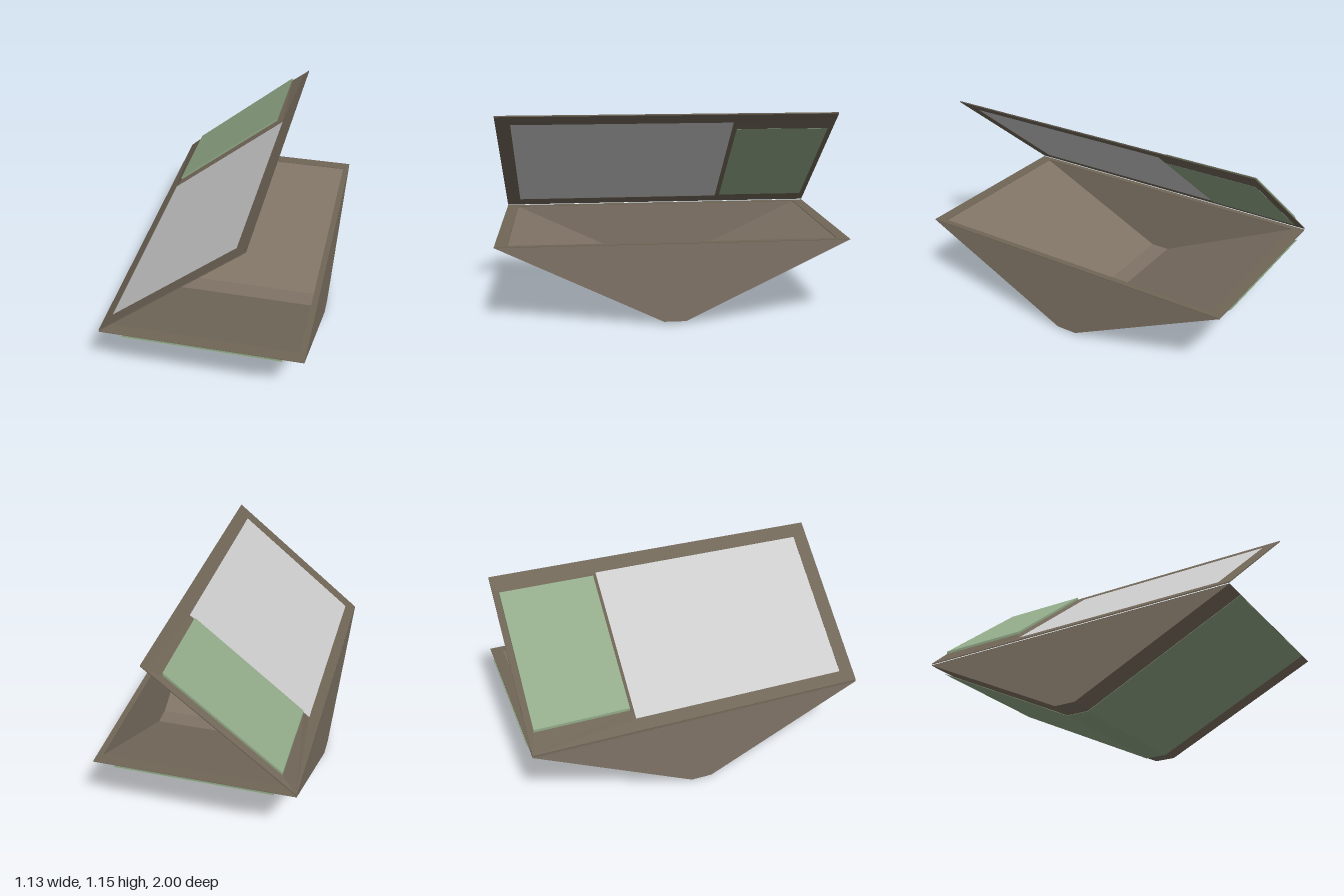
import * as THREE from 'three';

const mat = (color, side = THREE.FrontSide) =>
  new THREE.MeshStandardMaterial({ color, side, flatShading: true });

function add(parent, name, geometry, material) {
  const mesh = new THREE.Mesh(geometry, material);
  mesh.name = name;
  parent.add(mesh);
  return mesh;
}

// Rectangle outline from x0..x1 and z0..z1 (shape y is -z)
function outline(path, x0, x1, z0, z1) {
  path.moveTo(x0, -z1).lineTo(x1, -z1).lineTo(x1, -z0).lineTo(x0, -z0).closePath();
  return path;
}

// Flat plate lying in xz between heights y0 and y1, with optional rectangular holes
function plate(rect, y0, y1, holes = []) {
  const shape = outline(new THREE.Shape(), ...rect);
  for (const h of holes) shape.holes.push(outline(new THREE.Path(), ...h));
  return new THREE.ExtrudeGeometry(shape, { depth: y1 - y0, bevelEnabled: false })
    .rotateX(-Math.PI / 2).translate(0, y0, 0);
}

// Profile of [z, y] points extruded along x
function alongX(points, x0, x1) {
  const shape = new THREE.Shape(points.map(([z, y]) => new THREE.Vector2(z, y)));
  return new THREE.ExtrudeGeometry(shape, { depth: x1 - x0, bevelEnabled: false })
    .rotateY(Math.PI / 2).translate(x0, 0, 0);
}

// Four sloping strips joining two quads of [x, z] corners at different heights
function collar(outer, yOuter, inner, yInner) {
  const pos = [];
  for (let i = 0; i < 4; i++) {
    const j = (i + 1) % 4;
    const a = [outer[i][0], yOuter, outer[i][1]], b = [outer[j][0], yOuter, outer[j][1]];
    const c = [inner[j][0], yInner, inner[j][1]], d = [inner[i][0], yInner, inner[i][1]];
    // upward winding above the plate, downward winding below it
    if (yInner > yOuter) pos.push(...a, ...b, ...c, ...a, ...c, ...d);
    else pos.push(...a, ...c, ...b, ...a, ...d, ...c);
  }
  const g = new THREE.BufferGeometry();
  g.setAttribute('position', new THREE.Float32BufferAttribute(pos, 3));
  g.computeVertexNormals();
  return g;
}

export function createModel() {
  const model = new THREE.Group();
  model.name = 'openTrough';
  const brown = mat(0x7f7365);
  const trim = mat(0x706657);
  const trimSheet = mat(0x706657, THREE.DoubleSide);
  const green = mat(0x92aa89);
  const greenSheet = mat(0x92aa89, THREE.DoubleSide);
  const grey = mat(0xcccccc, THREE.DoubleSide);

  // Trough: V-shaped hollow shell closed by two end plates
  const body = new THREE.Group();
  body.name = 'trough';
  model.add(body);
  const W = 0.565, IN = 0.53, TOP = 0.467;
  const outer = [[-0.993, TOP], [-0.063, 0.015], [0.063, 0.015], [0.993, TOP]];
  const inner = [[0.925, TOP], [0.058, 0.05], [-0.058, 0.05], [-0.925, TOP]];
  add(body, 'troughShell', alongX([...outer, ...inner], -IN, IN), brown);
  add(body, 'leftEndPlate', alongX(outer, IN, W), brown);
  add(body, 'rightEndPlate', alongX(outer, -W, -IN), brown);
  add(body, 'troughRim', plate([-W, W, -0.995, 0.995], TOP, 0.47, [[-IN, IN, -0.925, 0.925]]), trim);

  // Thin liner sheet wrapped round the outside of the slopes
  const out = [[-1, 0.458], [-0.067, 0.001], [0.067, 0.001], [1, 0.458]];
  const back = [[0.999, 0.46], [0.066, 0.003], [-0.066, 0.003], [-0.999, 0.46]];
  add(body, 'outerSheet', alongX([...out, ...back], -0.44, 0.445), greenSheet);

  // Lid: modelled level, then sheared to slope up towards the left
  const lid = new THREE.Group();
  lid.name = 'lid';
  model.add(lid);
  const k = 0.8245;
  const slope = new THREE.Matrix4().set(
    1, 0, 0, 0,
    k, 1, 0, 0.478 + k * 0.565,
    0, 0, 1, 0,
    0, 0, 0, 1);
  const lidPart = (name, g, m) => add(lid, name, g.applyMatrix4(slope), m);

  const greyHole = [-0.51, 0.185, -0.385, 0.91];
  const greenHole = [-0.475, 0.14, -0.955, -0.415];
  lidPart('lidFrame', plate([-W, 0.25, -0.995, 0.995], -0.004, 0.004, [greyHole, greenHole]), trim);
  lidPart('largePanel', plate(greyHole, -0.002, 0.002), grey);
  lidPart('smallPanel', plate([-0.48, 0.147, -0.96, -0.41], -0.017, 0.038), green);

  // Raised collars round the small panel, above and below
  const wide = [[-0.51, -0.386], [0.185, -0.386], [0.22, -0.994], [-0.56, -0.994]];
  const tight = [[-0.48, -0.41], [0.147, -0.41], [0.147, -0.96], [-0.48, -0.96]];
  lidPart('upperCollar', collar(wide, 0.0045, tight, 0.022), trimSheet);
  lidPart('lowerCollar', collar(wide, -0.0045, tight, -0.016), trimSheet);

  return model;
}
